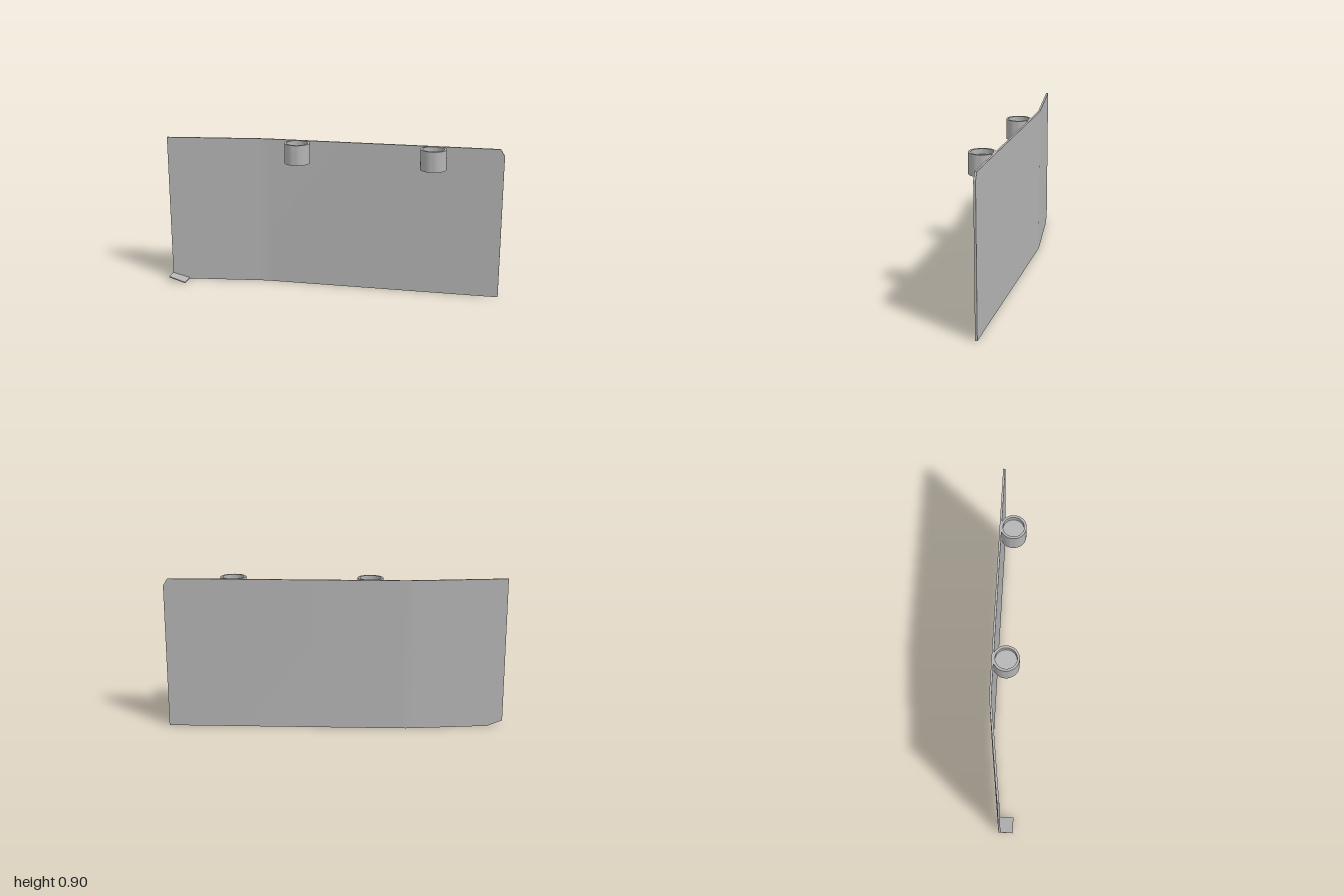
import * as THREE from 'three';
import { toCreasedNormals } from 'three/addons/utils/BufferGeometryUtils.js';

const CREASE = 0.5;

// Bent plate lofted from [x, bottom, top, frontZ] stations
function plateGeometry() {
  const thickness = 0.012;
  const stations = [
    [-1, 0.032, 0.9, 0.007],
    [-0.91, 0, 0.9, -0.005],
    [-0.46, 0, 0.9, -0.063],
    [-0.42, 0, 0.9, -0.067],
    [-0.38, 0, 0.9, -0.068],
    [0.975, 0, 0.9, -0.068],
    [1, 0, 0.86, -0.068],
  ];
  const positions = [];
  const index = [];
  for (const [x, y0, y1, z] of stations) {
    const back = z - thickness;
    positions.push(x, y0, z, x, y1, z, x, y1, back, x, y0, back);
  }
  const last = (stations.length - 1) * 4;
  for (let i = 0; i < last; i += 4) {
    for (let j = 0; j < 4; j++) {
      const k = (j + 1) % 4;
      index.push(i + j, i + 4 + j, i + 4 + k, i + j, i + 4 + k, i + k);
    }
  }
  index.push(0, 1, 2, 0, 2, 3);
  index.push(last, last + 2, last + 1, last, last + 3, last + 2);
  const geometry = new THREE.BufferGeometry();
  geometry.setAttribute('position', new THREE.Float32BufferAttribute(positions, 3));
  geometry.setIndex(index);
  return toCreasedNormals(geometry, CREASE);
}

// Sloping foot tab whose rear edge follows the slanted plate
function tabGeometry() {
  const profile = new THREE.Shape([
    new THREE.Vector2(-1, 0.03),
    new THREE.Vector2(-0.9, 0),
    new THREE.Vector2(-0.9, 0.006),
    new THREE.Vector2(-1, 0.037),
  ]);
  const geometry = new THREE.ExtrudeGeometry(profile, { depth: 0.08, bevelEnabled: false });
  const p = geometry.attributes.position;
  for (let i = 0; i < p.count; i++) {
    if (p.getZ(i) < 0.01) p.setZ(i, -0.13 * (p.getX(i) + 1));
  }
  geometry.computeVertexNormals();
  return geometry;
}

// Round socket with a shallow recess in its top
function socketGeometry() {
  const profile = [
    [0, 0.78], [0.075, 0.78], [0.075, 0.9],
    [0.061, 0.9], [0.061, 0.87], [0, 0.87],
  ].map(([r, y]) => new THREE.Vector2(r, y));
  return toCreasedNormals(new THREE.LatheGeometry(profile, 48), CREASE);
}

export function createModel() {
  const model = new THREE.Group();
  model.name = 'bentPanel';
  const grey = new THREE.MeshStandardMaterial({ color: 0xb4b4b4 });
  grey.name = 'grey';

  const add = (name, geometry, x = 0) => {
    const mesh = new THREE.Mesh(geometry, grey);
    mesh.name = name;
    mesh.position.x = x;
    model.add(mesh);
  };

  add('plate', plateGeometry());
  add('footTab', tabGeometry());
  const socket = socketGeometry();
  add('rightSocket', socket, -0.2);
  add('leftSocket', socket, 0.6);
  return model;
}
